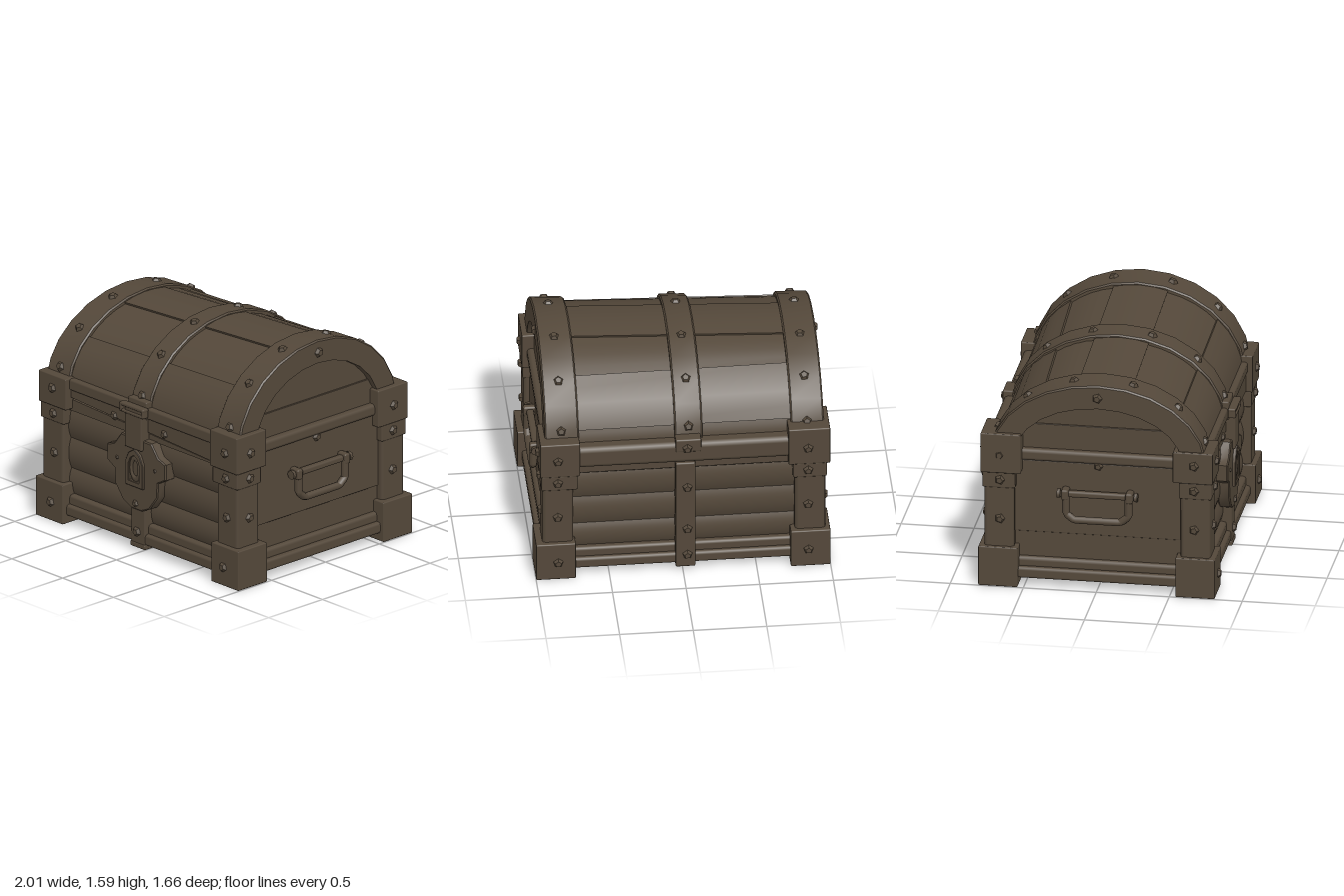
import * as THREE from 'three';
import { toCreasedNormals } from 'three/addons/utils/BufferGeometryUtils.js';
import { RoundedBoxGeometry } from 'three/addons/geometries/RoundedBoxGeometry.js';

export function createModel() {
  const root = new THREE.Group();
  root.name = 'chest';
  const brown = new THREE.MeshStandardMaterial({ color: 0x54483a });
  brown.name = 'dark brown';

  const add = (name, geo, x = 0, y = 0, z = 0) => {
    const m = new THREE.Mesh(geo, brown);
    m.name = name;
    m.position.set(x, y, z);
    root.add(m);
    return m;
  };
  // box given by its limits, with softened edges
  const box = (name, x0, x1, y0, y1, z0, z1, r = 0.01) =>
    add(name, new RoundedBoxGeometry(x1 - x0, y1 - y0, z1 - z0, 1, r),
      (x0 + x1) / 2, (y0 + y1) / 2, (z0 + z1) / 2);
  const shapeOf = pts => new THREE.Shape(pts.map(p => new THREE.Vector2(...p)));
  const extrude = (shape, depth, bevel = 0) => toCreasedNormals(new THREE.ExtrudeGeometry(shape, {
    depth, bevelEnabled: bevel > 0, bevelSize: bevel, bevelThickness: bevel, bevelSegments: 1, curveSegments: 8,
  }), 0.6);

  // five-sided rivet pointing along a direction
  const studGeo = toCreasedNormals(new THREE.CylinderGeometry(0.022, 0.044, 0.034, 5), 0.9);
  const stud = (x, y, z, nx, ny, nz, s = 1) => {
    const m = add('stud', studGeo, x, y, z);
    m.quaternion.setFromUnitVectors(new THREE.Vector3(0, 1, 0), new THREE.Vector3(nx, ny, nz).normalize());
    m.scale.setScalar(s);
  };

  // lid arch: half ellipse that grows taller toward +x
  const A = 0.74, Y0 = 0.95, Z0 = 0.008;
  const rise = x => 0.59 + 0.053 * x;
  const onArch = (x, t, inset) => [x, Y0 + Math.sin(t) * (rise(x) - inset), Z0 + Math.cos(t) * (A - inset)];
  // sweep a convex section of [x, inset] points over the arch
  function arch(section, t0, t1, steps, skew0 = 0, skew1 = 0, bulge = 0) {
    const pos = [], idx = [], n = section.length;
    for (let j = 0; j <= steps; j++) {
      const u = j / steps;
      for (const [x, inset] of section)
        pos.push(...onArch(x, t0 + (t1 - t0) * u + (skew0 + (skew1 - skew0) * u) * x,
          inset - bulge * Math.sin(Math.PI * u)));
    }
    for (let j = 0; j < steps; j++) for (let i = 0; i < n; i++) {
      const a = j * n + i, b = j * n + (i + 1) % n;
      idx.push(a, a + n, b, b, a + n, b + n);
    }
    const e = steps * n;
    for (let i = 1; i < n - 1; i++) idx.push(0, i, i + 1, e, e + i + 1, e + i);
    const g = new THREE.BufferGeometry();
    g.setAttribute('position', new THREE.Float32BufferAttribute(pos, 3));
    g.setIndex(idx);
    return toCreasedNormals(g, 0.65);
  }
  const bandSection = (x0, x1, d, r) => [
    [x0, d], [x1, d], [x1, r], [x1 - r, 0], [x0 + r, 0], [x0, r],
  ];

  // lid planks between slightly skewed [angle, skew] seams
  const seams = [[0.06, 0], [0.7, 0], [1.28, 0.01], [1.79, 0.01], [2.22, 0.07], [2.82, 0.03], [3.08, 0]];
  for (let i = 0; i < seams.length - 1; i++) {
    const inset = i % 2 ? 0.034 : 0.02;
    const [t0, k0] = seams[i], [t1, k1] = seams[i + 1];
    add('lidPlank', arch([[-0.82, inset + 0.07], [0.82, inset + 0.07], [0.82, inset], [-0.82, inset]],
      t0 - 0.008, t1 + 0.008, 4, k0, k1, 0.004));
  }
  // lid bands
  add('lidEndBand', arch(bandSection(0.70, 0.932, 0.165, 0.01), 0.06, Math.PI - 0.06, 12));
  add('lidEndBand', arch(bandSection(-0.965, -0.74, 0.165, 0.01), 0.06, Math.PI - 0.06, 12));
  add('lidMiddleBand', arch(bandSection(-0.14, 0.05, 0.06, 0.01), 0.04, Math.PI - 0.04, 12));
  for (const x of [-0.85, -0.045, 0.82])
    for (const c of [-0.955, -0.68, -0.25, 0.3, 0.72, 0.965]) {
      const t = Math.acos(c);
      stud(...onArch(x, t, 0), 0, Math.sin(t) / rise(x), c / A);
    }

  for (const s of [-1, 1]) {
    // lid end panel
    const h = rise(s * 0.85) - 0.06, arc = new THREE.Shape();
    arc.absellipse(0, Y0, A - 0.06, h, 0, Math.PI, false);
    const panel = extrude(arc, 0.05);
    panel.rotateY(Math.PI / 2);
    add('lidEndPanel', panel, s * 0.85 - 0.025);
    const side = (name, a, b, y0, y1, z, r) =>
      box(name, Math.min(s * a, s * b), Math.max(s * a, s * b), y0, y1, -z, z, r);
    side('lidEndPlank', 0.8, 0.888, 0.98, 1.16, 0.58, 0.004);
    side('lidEndRail', 0.8, 0.935, 0.9, 0.985, 0.6, 0.025);
    // end planks and rail
    side('endPlank', 0.8, 0.912, 0.38, 0.9, 0.64, 0.006);
    side('endPlank', 0.8, 0.902, 0.195, 0.385, 0.64, 0.006);
    side('endBottomBoard', 0.8, 0.935, 0.12, 0.2, 0.66, 0.025);
    side('endBottomRail', 0.8, 0.968, 0.055, 0.135, 0.66, 0.02);
    stud(s > 0 ? 0.937 : -0.97, s > 0 ? 1.5 : 1.4, 0, s, 0, 0);
    stud(s * 0.918, 0.885, 0, s, 0, 0, 0.9);

    // handle with its mounting bar
    side('handleBar', 0.92, 0.97, 0.665, 0.71, 0.25, 0.015);
    for (const z of [-0.22, 0.22]) {
      box('handleMount', s > 0 ? 0.89 : -0.992, s > 0 ? 0.992 : -0.89, 0.65, 0.725, z - 0.025, z + 0.025, 0.014);
      const knob = add('handleKnob', new THREE.CylinderGeometry(0.033, 0.033, 0.022, 8), s * 0.95, 0.688, z * 1.2);
      knob.rotation.x = Math.PI / 2;
    }
    const path = new THREE.CurvePath();
    const hp = [[0.68, 0.215], [0.55, 0.215], [0.505, 0.16], [0.505, -0.16], [0.55, -0.215], [0.68, -0.215]]
      .map(([y, z]) => new THREE.Vector3(s * 0.963, y, z));
    for (let i = 0; i < 5; i++) path.add(new THREE.LineCurve3(hp[i], hp[i + 1]));
    add('handle', new THREE.TubeGeometry(path, 30, 0.027, 8));

    // corner posts, collars and blocks; those at -x sit a little further out
    const out = s < 0 ? 0.016 : 0;
    for (const f of [-1, 1]) {
      const corner = (name, x0, x1, y0, y1, z0, z1, r) => box(name,
        s > 0 ? x0 : -x1, s > 0 ? x1 : -x0, y0, y1, f > 0 ? z0 : -z1, f > 0 ? z1 : -z0, r);
      const backOut = s < 0 && f < 0 ? 0.014 : 0;
      corner('footBlock', 0.73, 1, 0, 0.285, 0.54, 0.81, 0.008);
      corner('cornerPost', 0.745 + out, 0.955 + out, 0.25, 0.75, 0.57, 0.775, 0.025);
      corner('cornerCollar', 0.715 + out * 2, 0.962 + out, 0.71, 0.83, 0.56, 0.785, 0.01);
      corner('lidCornerBlock', 0.70 + out, 0.97 + out + backOut, 0.825,
        s > 0 ? 1.09 : f > 0 ? 1.05 : 1.11, 0.52, 0.795, 0.008);
      const rows = [[0.135, 1, 0.81], [0.485, 0.955 + out, 0.775], [0.77, 0.962 + out, 0.785], [0.955, 0.97 + out, 0.795]];
      rows.forEach(([y, x, z], i) => {
        stud(s * 0.85, y, f * (z + 0.004), 0, 0, f);
        stud(s * (x + (i ? 0.004 : -0.012)), y, f * 0.665, s, 0, 0, i ? 1 : 0.6);
      });
    }
  }

  // body core and floor
  box('bodyCore', -0.85, 0.85, 0.06, 1.02, -0.67, 0.67, 0.005);

  for (const f of [-1, 1]) {
    // bulging front and back planks
    [[0.185, 0.385, 0.71], [0.38, 0.605, 0.715], [0.6, 0.83, 0.72]].forEach(([y0, y1, z]) => {
      const p = new THREE.Shape();
      p.moveTo(0.6, y0);
      p.lineTo(z - 0.015, y0);
      p.quadraticCurveTo(z + 0.035, (y0 + y1) / 2, z - 0.015, y1);
      p.lineTo(0.6, y1);
      const m = add('bodyPlank', extrude(p, 1.6), f * 0.8, 0, 0);
      m.rotation.y = -f * Math.PI / 2;
    });
    box('bottomRail', -0.8, 0.8, 0.055, 0.135, f > 0 ? 0.62 : -0.775, f > 0 ? 0.775 : -0.62, 0.02);
    box('bottomBoard', -0.8, 0.8, 0.12, 0.2, f > 0 ? 0.62 : -0.745, f > 0 ? 0.745 : -0.62, 0.02);
  }

  // front lid rail with slanted lip, and the board below it
  box('lidRail', -0.78, 0.78, 0.965, 1.045, 0.64, 0.76, 0.015);
  add('lidLip', extrude(shapeOf([[-0.78, 0.975], [-0.78, 0.915], [0.78, 0.83], [0.78, 0.975]]), 0.1), 0, 0, 0.648);
  add('bodyTopBoard', extrude(shapeOf([[-0.78, 0.81], [0.78, 0.81], [0.78, 0.82], [-0.78, 0.895]]), 0.1), 0, 0, 0.633);

  // back ledge and the board below it
  box('backLedge', -0.78, 0.78, 0.875, 1.035, -0.778, -0.62, 0.035);
  box('backTopBoard', -0.78, 0.78, 0.81, 0.885, -0.735, -0.62, 0.01);

  // back strap and hinge
  box('backStrap', -0.085, 0.05, 0.03, 0.88, -0.785, -0.58, 0.01);
  box('backHinge', -0.125, 0.05, 0.97, 1.07, -0.785, -0.62, 0.01);
  for (const y of [0.13, 0.34, 0.68, 1.0]) stud(-0.03, y, -0.789, 0, 0, -1);

  // front strap with its foot, and lid studs
  box('frontStrap', -0.09, 0.046, 0.05, 0.34, 0.6, 0.78, 0.01);
  box('frontStrapFoot', -0.095, 0.052, 0.025, 0.06, 0.58, 0.785, 0.008);
  stud(-0.03, 0.14, 0.785, 0, 0, 1);
  stud(-0.29, 0.9, 0.752, 0, 0, 1, 0.85);
  stud(0.205, 0.9, 0.752, 0, 0, 1, 0.85);

  // lock plate
  const half = [[0.05, 0.308], [0.125, 0.342], [0.2, 0.44], [0.208, 0.55], [0.282, 0.592],
    [0.282, 0.695], [0.21, 0.722], [0.145, 0.808]];
  const outline = [...half, ...half.slice().reverse().map(([x, y]) => [-x, y])];
  add('lockPlate', extrude(shapeOf(outline), 0.07, 0.008), -0.03, 0, 0.712);
  stud(-0.035, 0.345, 0.793, 0, 0, 1, 0.75);
  for (const x of [-0.215, 0.155]) stud(x, 0.63, 0.792, 0, 0, 1, 0.4);

  // keyhole surround
  const archway = (w, y0, y1, y2) => [[-w, y0], [w, y0], [w, y1], [w * 0.62, (y1 + y2 * 2) / 3], [0, y2],
    [-w * 0.62, (y1 + y2 * 2) / 3], [-w, y1]];
  const surround = shapeOf(archway(0.082, 0.475, 0.64, 0.738));
  surround.holes.push(shapeOf(archway(0.055, 0.505, 0.63, 0.7)));
  add('keyholeSurround', extrude(surround, 0.03, 0.004), -0.03, 0, 0.778);
  const ring = add('keyholeRing', new THREE.TorusGeometry(0.04, 0.012, 6, 14), -0.03, 0.6, 0.795);
  ring.scale.y = 1.9;

  // hasp and its buckle
  box('hasp', -0.125, 0.042, 0.74, 1.04, 0.73, 0.81, 0.012);
  box('haspMount', -0.135, 0.05, 0.96, 1.09, 0.66, 0.768, 0.01);
  const bar = (x0, x1, y0, y1) => box('haspBuckle', x0, x1, y0, y1, 0.765, 0.82, 0.01);
  bar(-0.17, 0.072, 1.03, 1.055);
  bar(-0.15, 0.055, 0.985, 1.008);
  bar(-0.168, -0.142, 0.985, 1.055);
  bar(0.044, 0.07, 0.985, 1.055);

  return root;
}
